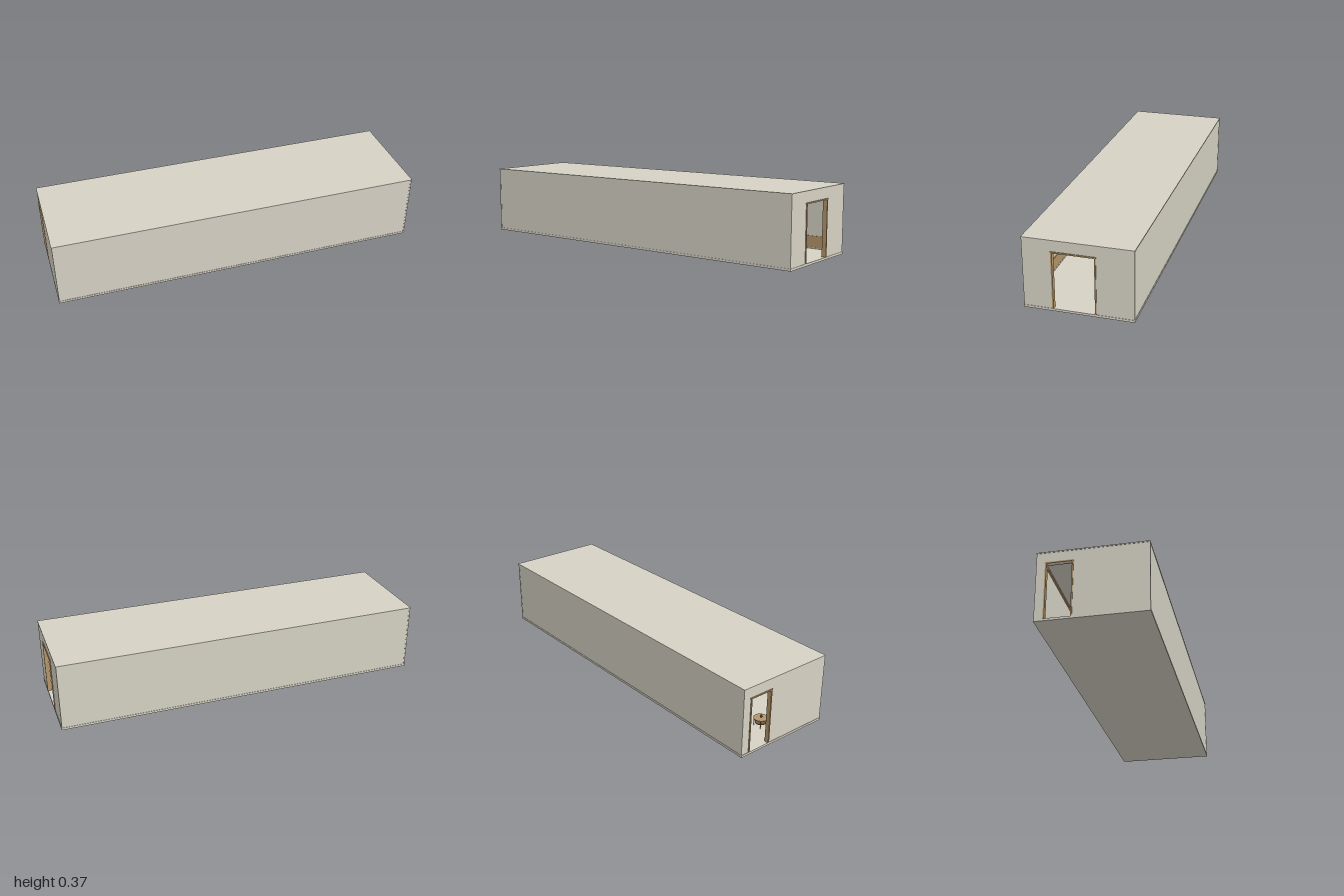
import * as THREE from 'three';

const mat = (name, color) => {
  const m = new THREE.MeshStandardMaterial({ color });
  m.name = name;
  return m;
};

export function createModel() {
  const model = new THREE.Group();
  model.name = 'corridorRoom';

  const plaster = mat('warm plaster', 0xd6d2c4);
  const oak = mat('light oak', 0xb5966a);
  const walnut = mat('dark walnut', 0x6f5840);
  const reed = mat('reed brown', 0x6b5f4a);
  const linen = mat('white linen', 0xe4e2de);
  const metal = mat('dark metal', 0x5c5d5c);

  const add = (name, geo, material, x = 0, y = 0, z = 0, parent = model) => {
    const mesh = new THREE.Mesh(geo, material);
    mesh.name = name;
    mesh.position.set(x, y, z);
    parent.add(mesh);
    return mesh;
  };
  // Box given by its lower and upper limits on each axis
  const box = (name, material, x0, x1, y0, y1, z0, z1, parent = model) =>
    add(name, new THREE.BoxGeometry(x1 - x0, y1 - y0, z1 - z0), material,
      (x0 + x1) / 2, (y0 + y1) / 2, (z0 + z1) / 2, parent);

  // Outer shell
  const FLOOR = 0.012, CEIL = 0.364, HEAD = 0.305;
  box('floorSlab', plaster, -0.998, 0.998, 0, FLOOR, -0.275, 0.275);
  box('roofSlab', plaster, -0.998, 0.998, CEIL, 0.37, -0.275, 0.275);
  for (const s of [-1, 1]) {
    const zs = (a, b) => (s > 0 ? [a, b] : [-b, -a]);
    const long = s > 0 ? 'front' : 'back';
    box(long + 'Wall', plaster, -0.99, 0.99, FLOOR, CEIL, ...zs(0.262, 0.273));
    // Inner panelling, skirting and cornice of the long walls
    box(long + 'Wainscot', oak, -0.98, 0.98, 0.018, 0.08, ...zs(0.258, 0.262));
    box(long + 'Skirting', plaster, -0.98, 0.98, FLOOR, 0.018, ...zs(0.257, 0.262));
    box(long + 'Cornice', oak, -0.98, 0.98, 0.354, CEIL, ...zs(0.254, 0.262));
    // Corner posts
    for (const e of [-1, 1]) {
      box('cornerPost', plaster, e > 0 ? 0.988 : -0.996, e > 0 ? 0.996 : -0.988,
        FLOOR, CEIL, ...zs(0.27, 0.274));
    }
  }

  // End walls, each with a framed doorway between z0 and z1
  const endWall = (side, name, z0, z1) => {
    const g = new THREE.Group();
    g.name = name;
    model.add(g);
    const xs = (a, b) => (side > 0 ? [a, b] : [-b, -a]);
    const wall = xs(0.98, 0.996), frame = xs(0.976, 1);
    box('wallBeforeDoor', plaster, ...wall, FLOOR, CEIL, -0.27, z0, g);
    box('wallAfterDoor', plaster, ...wall, FLOOR, CEIL, z1, 0.27, g);
    box('wallAboveDoor', plaster, ...wall, HEAD, CEIL, z0, z1, g);
    box('doorJamb', oak, ...frame, FLOOR, HEAD, z0 - 0.004, z0 + 0.003, g);
    box('doorJamb', oak, ...frame, FLOOR, HEAD, z1 - 0.003, z1 + 0.004, g);
    box('doorHead', oak, ...frame, HEAD, 0.312, z0 - 0.006, z1 + 0.006, g);
    // Inner panelling beside the doorway
    const inner = xs(0.977, 0.98);
    for (const [a, b] of [[-0.258, z0 - 0.004], [z1 + 0.004, 0.258]]) {
      box('endWainscot', oak, ...inner, 0.018, 0.08, a, b, g);
      box('endSkirting', plaster, ...xs(0.976, 0.98), FLOOR, 0.018, a, b, g);
    }
    box('endCornice', oak, ...xs(0.972, 0.98), 0.354, CEIL, -0.258, 0.258, g);
  };
  endWall(1, 'rightEnd', -0.085, 0.127);
  endWall(-1, 'leftEnd', -0.226, -0.096);

  // Framed wall panel with a moon ring and reeds
  const panel = new THREE.Group();
  panel.name = 'wallPanel';
  model.add(panel);
  const PZ0 = -0.018, PZ1 = 0.25;
  box('panelBoard', plaster, -0.979, -0.972, 0.08, 0.284, PZ0, PZ1, panel);
  box('panelFrameTop', walnut, -0.979, -0.966, 0.282, 0.287, PZ0, PZ1, panel);
  box('panelFrameBottom', walnut, -0.979, -0.966, 0.076, 0.081, PZ0, PZ1, panel);
  for (const z of [PZ0, PZ1 - 0.005]) {
    box('panelFrameSide', walnut, -0.979, -0.966, 0.076, 0.287, z, z + 0.005, panel);
  }
  box('panelEdgeStrip', walnut, -0.979, -0.972, 0.084, 0.28, -0.0225, -0.0205, panel);
  const ring = add('moonRing', new THREE.TorusGeometry(0.0455, 0.003, 8, 48), oak, -0.969, 0.21, 0.071, panel);
  ring.rotation.y = Math.PI / 2;
  const tops = [0.17, 0.175, 0.16, 0.165, 0.16, 0.158, 0.17, 0.18, 0.168];
  tops.forEach((top, i) => {
    const h = top - 0.098;
    const stick = add('reed', new THREE.CylinderGeometry(0.0013, 0.002, h, 6), reed,
      -0.969, 0.098 + h / 2, 0.119 - i * 0.0136, panel);
    stick.rotation.x = [-0.08, -0.1, 0.05, -0.06, 0.07, 0.03, -0.1, -0.08, 0.06][i];
  });

  // Upholstered benches: base, cushion with rounded front edge
  const bench = (name, x0, x1, z0, z1) => {
    const g = new THREE.Group();
    g.name = name;
    model.add(g);
    box('benchBase', walnut, x0, x1, FLOOR, 0.037, z0, z1, g);
    const r = 0.005, w = x1 - x0, s = new THREE.Shape();
    s.moveTo(0, 0);
    s.lineTo(w, 0);
    s.lineTo(w, 0.019 - r);
    s.quadraticCurveTo(w, 0.019, w - r, 0.019);
    s.lineTo(r, 0.019);
    s.quadraticCurveTo(0, 0.019, 0, 0.019 - r);
    s.closePath();
    const geo = new THREE.ExtrudeGeometry(s, { depth: z1 - z0, bevelEnabled: false, curveSegments: 4 });
    add('benchCushion', geo, linen, x0, 0.037, z0, g);
  };
  bench('endBench', -0.975, -0.9, -0.017, 0.25);
  bench('backBench', 0.6, 0.76, -0.255, -0.19);

  // Round side table with a lower shelf and a small vase
  const table = new THREE.Group();
  table.name = 'sideTable';
  table.position.set(-0.86, 0, -0.012);
  model.add(table);
  add('tableTop', new THREE.CylinderGeometry(0.037, 0.037, 0.003, 32), oak, 0, 0.0555, 0, table);
  add('tableShelf', new THREE.CylinderGeometry(0.028, 0.028, 0.003, 32), walnut, 0, 0.03, 0, table);
  for (let i = 0; i < 4; i++) {
    const a = Math.PI / 4 + i * Math.PI / 2;
    add('tableLeg', new THREE.CylinderGeometry(0.002, 0.002, 0.042, 8), oak,
      Math.cos(a) * 0.033, 0.033, Math.sin(a) * 0.033, table);
  }
  const vase = [[0, 0], [0.004, 0], [0.006, 0.005], [0.003, 0.009], [0.004, 0.013], [0, 0.013]]
    .map(([x, y]) => new THREE.Vector2(x, y));
  add('vase', new THREE.LatheGeometry(vase, 16), metal, 0, 0.057, 0.004, table);

  // Shallow hanging lamp
  const dish = [[0, 0], [0.015, 0.001], [0.028, 0.005], [0.036, 0.011], [0.036, 0.014], [0, 0.018]]
    .map(([x, y]) => new THREE.Vector2(x, y));
  add('lampDish', new THREE.LatheGeometry(dish, 32), metal, 0, 0.293, -0.018);
  add('lampRod', new THREE.CylinderGeometry(0.002, 0.002, 0.055, 8), metal, 0, 0.3375, -0.018);

  return model;
}
